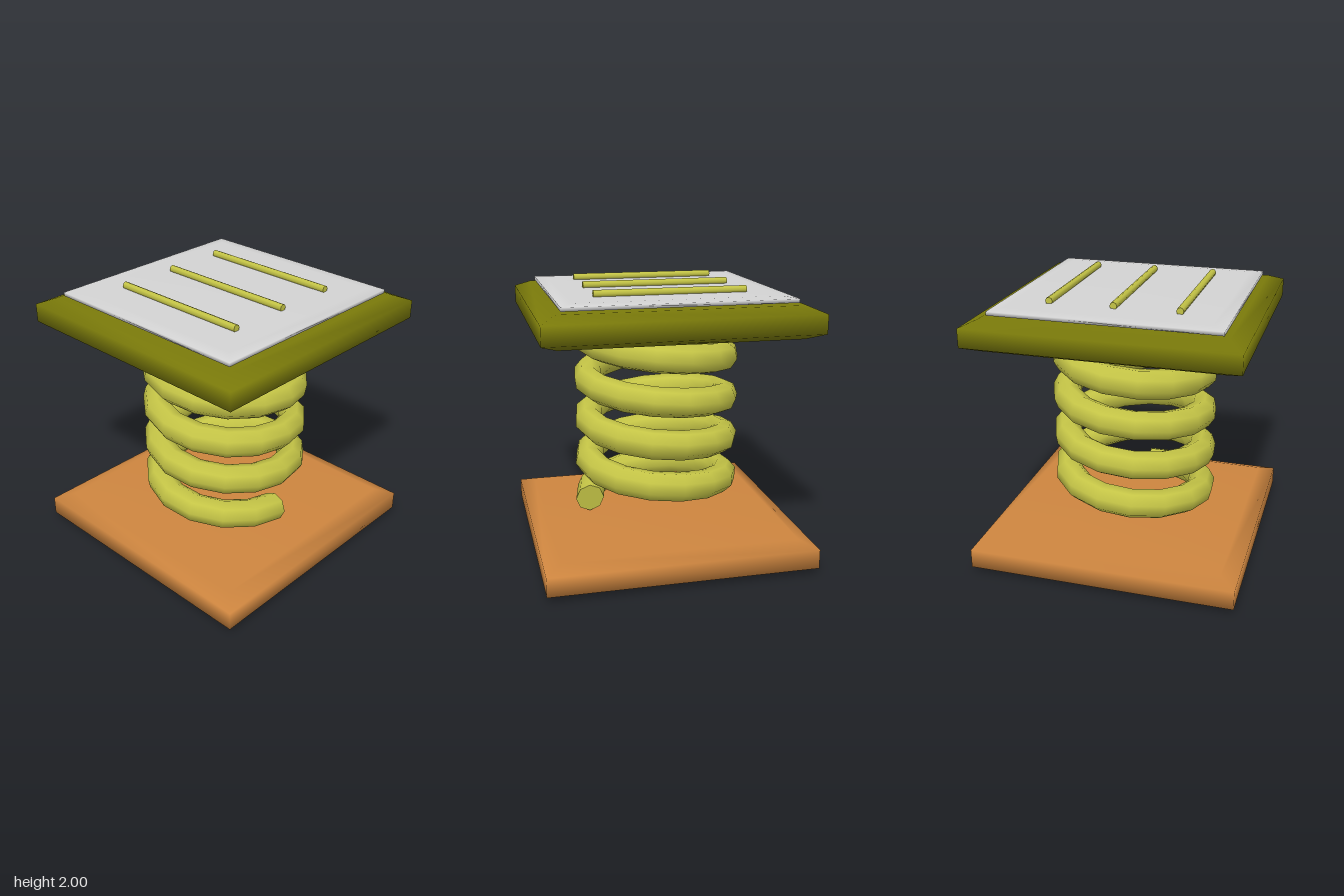
import * as THREE from 'three';
import { mergeVertices } from 'three/addons/utils/BufferGeometryUtils.js';

const flat = (name, color) => {
  const m = new THREE.MeshStandardMaterial({ color });
  m.name = name;
  return m;
};

// Square slab with chamfered rims and softly shared normals
function slab(name, half, inner, y0, y1, rim, material) {
  const profile = [[0, y0], [inner, y0], [half, y0 + rim], [half, y1 - rim], [inner, y1], [0, y1]]
    .map(([r, y]) => new THREE.Vector2(r * Math.SQRT2, y));
  let geo = new THREE.LatheGeometry(profile, 4).rotateY(Math.PI / 4);
  geo.deleteAttribute('normal');
  geo.deleteAttribute('uv');
  geo = mergeVertices(geo, 1e-4);
  geo.computeVertexNormals();
  const mesh = new THREE.Mesh(geo, material);
  mesh.name = name;
  return mesh;
}

// Rising coil: starts at +x and winds toward the front
class Helix extends THREE.Curve {
  constructor(radius, turns, startY, pitch) {
    super();
    Object.assign(this, { radius, turns, startY, pitch });
  }
  getPoint(t, target = new THREE.Vector3()) {
    const a = t * this.turns * Math.PI * 2;
    return target.set(this.radius * Math.cos(a), this.startY + this.pitch * this.turns * t, this.radius * Math.sin(a));
  }
}

function coilSpring(material) {
  const group = new THREE.Group();
  group.name = 'spring';
  const segments = 64, sides = 8;
  const curve = new Helix(0.515, 4.25, 0.345, 0.312);
  const tube = new THREE.TubeGeometry(curve, segments, 0.107, sides, false);
  const coil = new THREE.Mesh(tube, material);
  coil.name = 'springCoil';
  group.add(coil);

  // Close both ends with the tube's own end rings
  for (const [ring, name] of [[0, 'springLowerEnd'], [segments, 'springUpperEnd']]) {
    const points = [], index = [];
    for (let j = 0; j < sides; j++) {
      points.push(new THREE.Vector3().fromBufferAttribute(tube.attributes.position, ring * (sides + 1) + j));
      if (j > 1) index.push(0, ring ? j - 1 : j, ring ? j : j - 1);
    }
    const geo = new THREE.BufferGeometry().setFromPoints(points);
    geo.setIndex(index);
    geo.computeVertexNormals();
    const cap = new THREE.Mesh(geo, material);
    cap.name = name;
    group.add(cap);
  }
  return group;
}

export function createModel() {
  const model = new THREE.Group();
  model.name = 'springPad';
  const wood = flat('warm brown', 0xcd853f);
  const olive = flat('olive', 0x7a7a0a);
  const yellow = flat('yellow green', 0xc4c446);
  yellow.side = THREE.DoubleSide;
  const grey = flat('light grey', 0xd3d3d3);

  model.add(
    slab('basePlate', 0.967, 0.85, 0, 0.23, 0.045, wood),
    coilSpring(yellow),
    slab('topPlate', 0.946, 0.835, 1.68, 1.908, 0.047, olive),
    slab('treadPad', 0.8, 0.71, 1.91, 1.957, 0.01, grey),
  );

  // Grip bars across the pad
  for (const z of [-0.455, 0, 0.455]) {
    const bar = new THREE.Mesh(new THREE.CylinderGeometry(0.026, 0.026, 1.074, 8).rotateZ(Math.PI / 2), yellow);
    bar.name = 'gripBar';
    bar.position.set(0, 1.975, z);
    model.add(bar);
  }
  return model;
}
